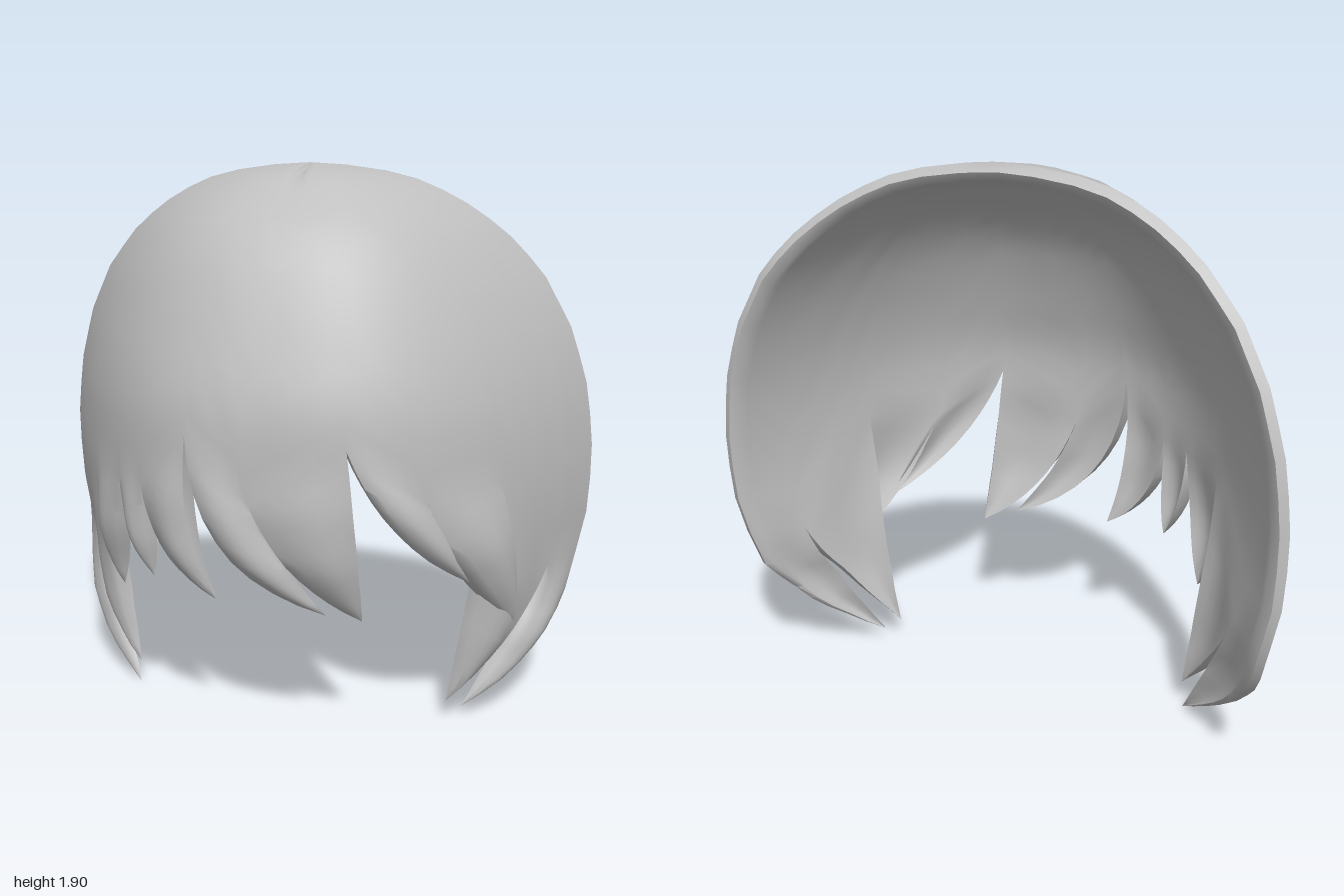
import * as THREE from 'three';
import { toCreasedNormals } from 'three/addons/utils/BufferGeometryUtils.js';

// Linear lookup in a short list of [y, value], listed from the crown down
function lookup(table, y) {
  if (y >= table[0][0]) return table[0][1];
  for (let i = 1; i < table.length; i++) {
    const [y0, a] = table[i - 1], [y1, b] = table[i];
    if (y >= y1) return a + (b - a) * (y0 - y) / (y0 - y1);
  }
  return table[table.length - 1][1];
}

// Half width, front depth and back rim depth at each height
const HALF_WIDTH = [[1.9, 0], [1.888, 0.2], [1.85, 0.36], [1.79, 0.5], [1.68, 0.66], [1.53, 0.8], [1.33, 0.91],
  [1.12, 0.975], [0.9, 1], [0.7, 0.995], [0.55, 0.965], [0.3, 0.91], [0.13, 0.77], [0, 0.6]];
const FRONT = [[1.9, -0.21], [1.888, -0.1], [1.85, 0.02], [1.8, 0.09], [1.72, 0.2], [1.6, 0.29], [1.45, 0.36],
  [1.33, 0.405], [1.2, 0.45], [1.1, 0.465], [0.85, 0.465], [0.65, 0.43], [0.47, 0.36], [0.2, 0.24], [0, 0.15]];
const RIM_RIGHT = [[1.9, -0.21], [1.8, -0.255], [1.57, -0.35], [1.3, -0.42], [1.1, -0.45], [0.7, -0.465],
  [0.52, -0.445], [0.33, -0.36], [0, 0]];
const RIM_LEFT = [[1.9, -0.21], [1.8, -0.255], [1.57, -0.335], [1.3, -0.345], [0.9, -0.335], [0.6, -0.315],
  [0.4, -0.26], [0.28, -0.19], [0.05, 0]];

// Locks of hair: root corners a and b, bend points for both edges, tip, outward lift
const LOCKS = [
  { a: [-0.965, 0.55], b: [-0.87, 0.53], ca: [-0.93, 0.2], cb: [-0.78, 0.25], tip: [-0.6, 0], lift: 0 },
  { a: [-0.87, 0.53], b: [-0.72, 0.87], ca: [-0.8, 0.3], cb: [-0.7, 0.35], tip: [-0.59, 0.09], lift: 0 },
  { a: [-0.72, 0.87], b: [-0.56, 0.88], ca: [-0.72, 0.56], cb: [-0.59, 0.65], tip: [-0.595, 0.43], lift: 0.015 },
  { a: [-0.56, 0.88], b: [-0.45, 0.88], ca: [-0.56, 0.66], cb: [-0.45, 0.7], tip: [-0.435, 0.53], lift: 0 },
  { a: [-0.45, 0.88], b: [-0.265, 1.07], ca: [-0.42, 0.62], cb: [-0.3, 0.75], tip: [-0.19, 0.5], lift: 0 },
  { a: [-0.265, 1.07], b: [-0.05, 0.87], ca: [-0.23, 0.62], cb: [0.02, 0.68], tip: [0.18, 0.48], lift: 0.015 },
  { a: [-0.05, 0.87], b: [0.26, 1.05], ca: [0.05, 0.6], cb: [0.3, 0.72], tip: [0.295, 0.45], lift: 0 },
  { a: [0.26, 1.05], b: [0.5, 0.87], ca: [0.37, 0.77], cb: [0.59, 0.72], tip: [0.63, 0.55], lift: 0 },
  { a: [0.5, 0.87], b: [0.71, 0.9], ca: [0.62, 0.5], cb: [0.76, 0.68], tip: [0.75, 0.37], lift: 0.025 },
  { a: [0.71, 0.9], b: [0.87, 0.53], ca: [0.66, 0.35], cb: [0.79, 0.3], tip: [0.55, 0.08], lift: 0 },
  { a: [0.87, 0.53], b: [0.965, 0.55], ca: [0.8, 0.28], cb: [0.93, 0.22], tip: [0.6, 0.05], lift: 0 },
];

const COLS = 6, SHEET_ROWS = 18, LOCK_ROWS = 9, THICKNESS = 0.055;

// Point on the cap: u runs from -1 (right rim) to 1 (left rim)
function capPoint(u, y) {
  const rim = lookup(u < 0 ? RIM_RIGHT : RIM_LEFT, y);
  const z = rim + (lookup(FRONT, y) - rim) * (1 - Math.abs(u) ** 2.5);
  return new THREE.Vector3(u * lookup(HALF_WIDTH, y), y, z);
}

// Small parting notch just in front of the crown
function partingDepth(u, y) {
  return y > 1.84 && y < 1.899 ? 0.014 * Math.exp(-(((u + 0.02) / 0.06) ** 2)) : 0;
}

const outward = (p) => new THREE.Vector3(p.x, Math.max(0, p.y - 0.9), p.z + 0.3).normalize();
const mix = (p, q, w) => [p[0] + (q[0] - p[0]) * w, p[1] + (q[1] - p[1]) * w];
const bend = (p, c, q, t) => mix(mix(p, c, t), mix(c, q, t), t);
const acrossCap = (x, y) => THREE.MathUtils.clamp(x / lookup(HALF_WIDTH, y), -1, 1);

// Outer and inner point grids of one lock, from the crown to its tip
function lockGrids(lock, first, last) {
  const outer = [], inner = [];
  for (let r = 0; r <= SHEET_ROWS + LOCK_ROWS; r++) {
    const t = Math.max(0, (r - SHEET_ROWS) / LOCK_ROWS);
    const outerRow = [], innerRow = [];
    for (let c = 0; c <= COLS; c++) {
      const w = c / COLS;
      let p, notch = 0;
      if (r <= SHEET_ROWS) {
        const [x, y] = mix(lock.a, lock.b, w);
        const onRim = (first && c === 0) || (last && c === COLS);
        const u = onRim ? Math.sign(x) : acrossCap(x, y);
        p = capPoint(u, 1.9 - (1.9 - y) * (r / SHEET_ROWS) ** 1.8);
        notch = partingDepth(u, p.y);
      } else {
        const [x, y] = mix(bend(lock.a, lock.ca, lock.tip, t), bend(lock.b, lock.cb, lock.tip, t), w);
        p = capPoint(acrossCap(x, y), y);
        const puff = 0.03 * Math.sin(Math.PI * w) * Math.sin(Math.PI * t) + lock.lift * Math.sin(t * 2);
        p.addScaledVector(outward(p), puff);
      }
      innerRow.push(p.clone().addScaledVector(outward(p), -THICKNESS * (1 - t ** 3)));
      p.y -= notch;
      outerRow.push(p);
    }
    outer.push(outerRow);
    inner.push(innerRow);
  }
  return { outer, inner };
}

// Ridge of the rounded back rim, between an outer and an inner point
function rimRidge(o, n) {
  const ridge = o.clone().lerp(n, 0.5);
  ridge.z -= 0.36 * o.distanceTo(n);
  return ridge;
}

function buildFringe() {
  const positions = [];
  const quad = (a, b, c, d) => {
    for (const p of [a, b, c, a, c, d]) positions.push(p.x, p.y, p.z);
  };
  // Strip between two edge lines, seen with line a on the left
  const strip = (a, b, r) => quad(a[r], a[r + 1], b[r + 1], b[r]);

  LOCKS.forEach((lock, i) => {
    const first = i === 0, last = i === LOCKS.length - 1;
    const { outer: o, inner: n } = lockGrids(lock, first, last);
    const column = (grid, c) => grid.map((row) => row[c]);
    const oa = column(o, 0), na = column(n, 0), ob = column(o, COLS), nb = column(n, COLS);
    const ridgeA = oa.map((p, r) => rimRidge(p, na[r]));
    const ridgeB = ob.map((p, r) => rimRidge(p, nb[r]));
    for (let r = 0; r < SHEET_ROWS + LOCK_ROWS; r++) {
      // outside and lining
      for (let c = 0; c < COLS; c++) {
        quad(o[r][c], o[r + 1][c], o[r + 1][c + 1], o[r][c + 1]);
        quad(n[r][c], n[r][c + 1], n[r + 1][c + 1], n[r + 1][c]);
      }
      // rounded back rim, and edge walls on the free locks
      if (first) {
        strip(na, ridgeA, r);
        strip(ridgeA, oa, r);
      } else if (r >= SHEET_ROWS) strip(na, oa, r);
      if (last) {
        strip(ob, ridgeB, r);
        strip(ridgeB, nb, r);
      } else if (r >= SHEET_ROWS) strip(ob, nb, r);
    }
  });
  const geometry = new THREE.BufferGeometry();
  geometry.setAttribute('position', new THREE.Float32BufferAttribute(positions, 3));
  return toCreasedNormals(geometry, 1.15);
}

export function createModel() {
  const hairGrey = new THREE.MeshStandardMaterial({ color: 0xbfbfbf, side: THREE.DoubleSide });
  hairGrey.name = 'hairGrey';
  const fringe = new THREE.Mesh(buildFringe(), hairGrey);
  fringe.name = 'hairFringe';
  const model = new THREE.Group();
  model.name = 'frontHair';
  model.add(fringe);
  return model;
}
